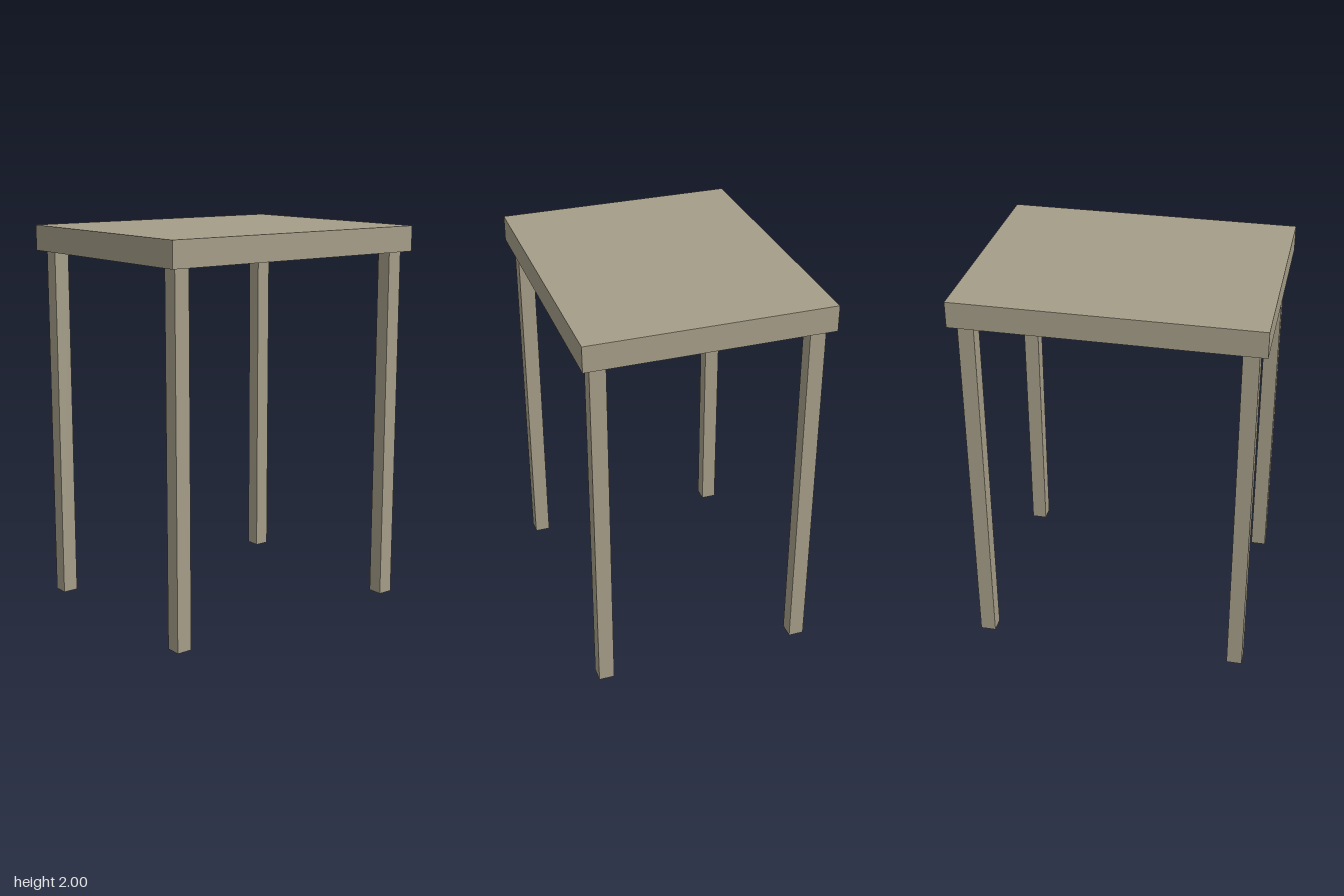
import * as THREE from 'three';

const WIDTH = 1.52, DEPTH = 1.235, HEIGHT = 2;
const TOP = 0.132, LEG = 0.08, INSET = 0.04;

export function createModel() {
  const group = new THREE.Group();
  group.name = 'table';

  const wood = new THREE.MeshStandardMaterial({ color: 0xa59d88 });
  wood.name = 'greyWood';

  const addBox = (name, size, position) => {
    const mesh = new THREE.Mesh(new THREE.BoxGeometry(...size), wood);
    mesh.name = name;
    mesh.position.set(...position);
    group.add(mesh);
  };

  // Thick slab top
  addBox('tableTop', [WIDTH, TOP, DEPTH], [0, HEIGHT - TOP / 2, 0]);

  // Four square legs, set in slightly from the edges
  const legHeight = HEIGHT - TOP;
  const x = WIDTH / 2 - INSET - LEG / 2;
  const z = DEPTH / 2 - INSET - LEG / 2;
  for (const [side, sx] of [['Left', 1], ['Right', -1]]) {
    for (const [end, sz] of [['front', 1], ['back', -1]]) {
      addBox(`${end}${side}Leg`, [LEG, legHeight, LEG], [sx * x, legHeight / 2, sz * z]);
    }
  }

  return group;
}
